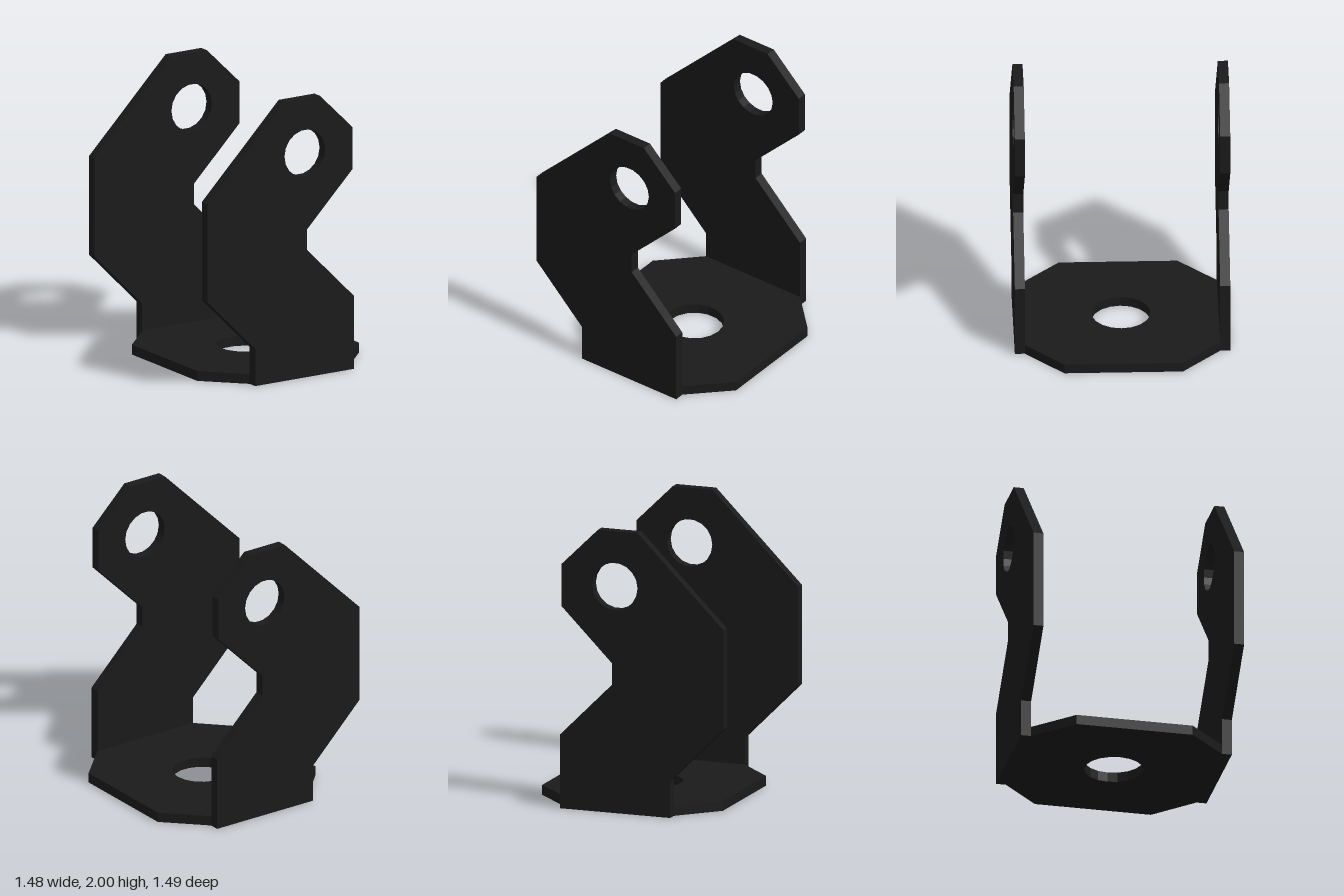
import * as THREE from 'three';

const THICKNESS = 0.07;
const HOLE_SIDES = 18;
const CENTRE_X = 0.065; // shared centre line of all holes

// Flat plate with a faceted round hole, extruded along +z
function plateGeometry(outline, holeY, holeRadius) {
  const shape = new THREE.Shape(outline.map(([x, y]) => new THREE.Vector2(x, y)));
  const ring = [];
  for (let i = 0; i < HOLE_SIDES; i++) {
    const a = (-i / HOLE_SIDES) * Math.PI * 2;
    ring.push(new THREE.Vector2(CENTRE_X + holeRadius * Math.cos(a), holeY + holeRadius * Math.sin(a)));
  }
  shape.holes.push(new THREE.Path(ring));
  return new THREE.ExtrudeGeometry(shape, { depth: THICKNESS, bevelEnabled: false });
}

export function createModel() {
  const group = new THREE.Group();
  group.name = 'bracket';
  const material = new THREE.MeshStandardMaterial({ color: 0x1a1a1a });

  // Octagonal base plate lying between the arms
  const baseGeometry = plateGeometry([
    [-0.345, -0.675], [0.47, -0.675], [0.735, -0.41], [0.735, 0.41],
    [0.47, 0.675], [-0.345, 0.675], [-0.605, 0.41], [-0.605, -0.41],
  ], 0, 0.205);
  baseGeometry.rotateX(-Math.PI / 2);
  const base = new THREE.Mesh(baseGeometry, material);
  base.name = 'basePlate';
  group.add(base);

  // Two identical cranked arms, front and back
  const armGeometry = plateGeometry([
    [-0.345, 0], [0.47, 0], [0.47, 0.525], [0.085, 0.91], [0.085, 1.06], [0.46, 1.435],
    [0.46, 1.735], [0.19, 2], [-0.105, 2], [-0.74, 1.365], [-0.74, 0.66], [-0.345, 0.265],
  ], 1.608, 0.168);
  for (const [name, z] of [['frontArm', 0.675], ['backArm', -0.675 - THICKNESS]]) {
    const arm = new THREE.Mesh(armGeometry, material);
    arm.name = name;
    arm.position.z = z;
    group.add(arm);
  }

  return group;
}
